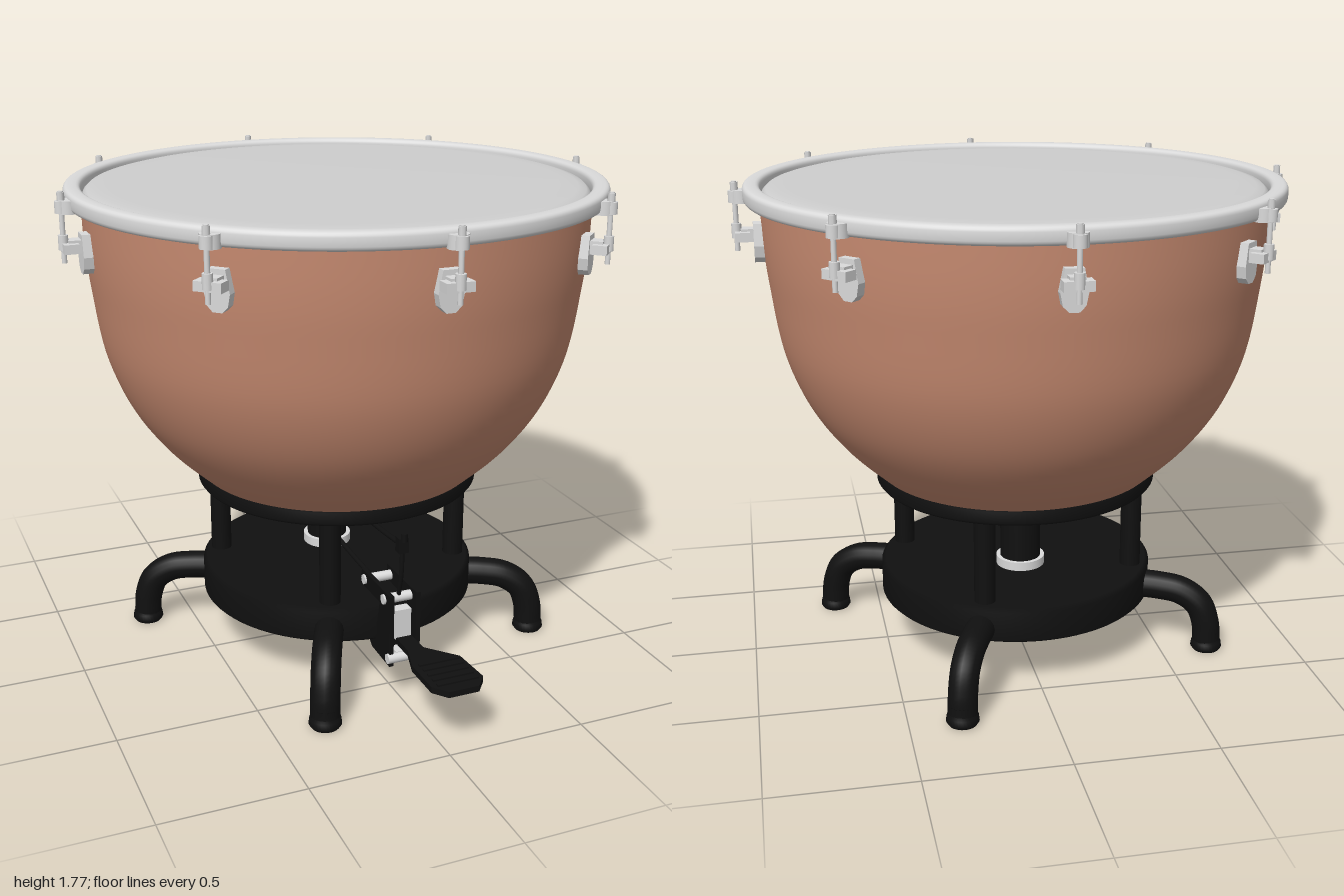
import * as THREE from 'three';

const mat = (name, color, side = THREE.FrontSide) => {
  const m = new THREE.MeshStandardMaterial({ color, side });
  m.name = name;
  return m;
};

export function createModel() {
  const root = new THREE.Group();
  root.name = 'kettledrum';
  const copper = mat('copper', 0xc68a70, THREE.DoubleSide);
  const chrome = mat('chrome', 0xdadada);
  const skin = mat('drum skin', 0xcecece);
  const black = mat('black iron', 0x101010);

  const add = (parent, name, geo, material, x = 0, y = 0, z = 0) => {
    const m = new THREE.Mesh(geo, material);
    m.name = name;
    m.position.set(x, y, z);
    parent.add(m);
    return m;
  };
  const v2 = (pts) => pts.map(([a, b]) => new THREE.Vector2(a, b));
  const lathe = (pts, seg = 96) => new THREE.LatheGeometry(v2(pts), seg);
  const cyl = (r1, r2, h, seg = 24) => new THREE.CylinderGeometry(r1, r2, h, seg);
  const box = (w, h, d) => new THREE.BoxGeometry(w, h, d);
  const tube = (pts, r, seg = 24) => new THREE.TubeGeometry(
    new THREE.CatmullRomCurve3(pts.map((p) => new THREE.Vector3(...p))), seg, r, 16);
  const slab = (pts, depth) => new THREE.ExtrudeGeometry(new THREE.Shape(v2(pts)),
    { depth, bevelEnabled: false });

  // Copper bowl
  const bowlCurve = new THREE.SplineCurve(v2([[0.46, 0.65], [0.52, 0.70], [0.65, 0.825],
    [0.76, 0.98], [0.835, 1.17], [0.872, 1.4], [0.887, 1.55], [0.892, 1.72]]));
  add(root, 'bowl', new THREE.LatheGeometry(bowlCurve.getPoints(40), 96), copper);

  // Counterhoop with a rounded section, and the skin inside it
  const hoop = [];
  for (let i = 0; i <= 24; i++) {
    const a = -Math.PI / 2 + (i / 24) * Math.PI * 2;
    const soft = (t) => Math.sign(t) * Math.abs(t) ** 0.6;
    hoop.push([0.918 + 0.031 * soft(Math.cos(a)), 1.727 + 0.031 * soft(Math.sin(a))]);
  }
  add(root, 'counterhoop', lathe(hoop, 128), chrome);
  add(root, 'drumSkin', lathe([[0.89, 1.70], [0.882, 1.725], [0.868, 1.738], [0.84, 1.745],
    [0.78, 1.748], [0, 1.748]], 128), skin);

  // Eight tension lugs
  for (let i = 0; i < 8; i++) {
    const lug = new THREE.Group();
    lug.name = 'tensionLug';
    lug.rotation.y = i * Math.PI / 4;
    root.add(lug);
    add(lug, 'hoopEar', cyl(0.034, 0.034, 0.045), chrome, 0, 1.718, 0.95);
    add(lug, 'earTip', cyl(0.022, 0.022, 0.04), chrome, 0, 1.718, 0.974);
    add(lug, 'tensionRod', cyl(0.009, 0.009, 0.24, 12), chrome, 0, 1.65, 0.974);
    add(lug, 'rodHead', cyl(0.013, 0.013, 0.03, 8), chrome, 0, 1.752, 0.974);
    add(lug, 'rodNut', cyl(0.017, 0.017, 0.05, 12), chrome, 0, 1.6, 0.974);
    add(lug, 'clawBlock', box(0.095, 0.032, 0.05), chrome, 0, 1.583, 0.955);
    add(lug, 'clawArm', box(0.05, 0.045, 0.08), chrome, 0, 1.585, 0.92);
    const shield = slab([[-0.03, 1.625], [-0.044, 1.55], [-0.036, 1.51], [-0.016, 1.49],
      [0.016, 1.49], [0.036, 1.51], [0.044, 1.55], [0.03, 1.625]], 0.05);
    add(lug, 'lugShield', shield, chrome, 0, 0, 0.868);
  }

  // Stand: upper ring, base drum
  add(root, 'supportRing', lathe([[0, 0.64], [0.51, 0.64], [0.518, 0.65], [0.518, 0.69],
    [0.51, 0.70], [0.44, 0.70]]), black);
  add(root, 'baseDisc', lathe([[0, 0.19], [0.50, 0.19], [0.51, 0.20], [0.51, 0.305],
    [0.495, 0.32], [0, 0.32]]), black);

  // Four posts and four curved legs
  for (let i = 0; i < 4; i++) {
    const corner = new THREE.Group();
    corner.name = 'legAndPost';
    corner.rotation.y = THREE.MathUtils.degToRad(-25 + 90 * i);
    root.add(corner);
    add(corner, 'post', cyl(0.038, 0.038, 0.36), black, 0, 0.48, 0.445);
    add(corner, 'leg', tube([[0, 0.238, 0.42], [0, 0.238, 0.56], [0, 0.225, 0.645],
      [0, 0.18, 0.71], [0, 0.11, 0.738], [0, 0.04, 0.745]], 0.052, 32), black);
    add(corner, 'foot', lathe([[0, 0], [0.05, 0], [0.058, 0.012], [0.055, 0.032],
      [0.042, 0.055], [0.05, 0.075]], 32), black, 0, 0, 0.745);
  }

  // Centre column with its bright collar
  add(root, 'column', cyl(0.075, 0.075, 0.34, 32), black, 0, 0.48, -0.1);
  add(root, 'columnCollar', cyl(0.09, 0.09, 0.035, 40), chrome, 0, 0.335, -0.1);

  // Pedal bracket: two side plates joined by bright pins
  const pedal = new THREE.Group();
  pedal.name = 'pedalMechanism';
  root.add(pedal);
  const plate = slab([[0.62, 0.41], [0.62, 0.14], [0.47, 0.145], [0.45, 0.16], [0.45, 0.24],
    [0.51, 0.26], [0.53, 0.35], [0.37, 0.35], [0.37, 0.41]], 0.016);
  plate.rotateY(-Math.PI / 2);
  for (const x of [-0.036, 0.064]) add(pedal, 'bracketPlate', plate, black, x);
  for (const [y, z] of [[0.38, 0.57], [0.38, 0.40], [0.17, 0.615]]) {
    add(pedal, 'bracketPin', cyl(0.018, 0.018, 0.13, 20), chrome, 0.006, y, z)
      .rotation.z = Math.PI / 2;
  }
  add(pedal, 'linkBlock', box(0.06, 0.11, 0.04), chrome, 0.006, 0.29, 0.585);
  add(pedal, 'lowerLink', box(0.06, 0.04, 0.05), chrome, 0.006, 0.17, 0.59);
  add(pedal, 'bracketMount', box(0.08, 0.09, 0.12), black, 0.006, 0.215, 0.50);

  // Foot paddle with tread ridges
  const paddle = slab([[-0.02, 0.54], [0.035, 0.54], [0.04, 0.70], [0.13, 0.80], [0.14, 0.95],
    [0.10, 1.0], [-0.01, 1.0], [-0.05, 0.95], [-0.05, 0.80], [-0.02, 0.70]], 0.022);
  paddle.rotateX(Math.PI / 2);
  add(pedal, 'footPaddle', paddle, black, 0, 0.24, 0);
  for (let i = 0; i < 5; i++) {
    add(pedal, 'treadRidge', box(0.15, 0.008, 0.015), black, 0.045, 0.242, 0.81 + i * 0.035);
  }

  // Control linkage
  add(pedal, 'uprightRod', tube([[0, 0.39, 0.575], [0, 0.48, 0.595], [0, 0.60, 0.60]], 0.008), black);
  add(pedal, 'rodJoint', box(0.035, 0.055, 0.035), black, 0, 0.592, 0.597);
  add(pedal, 'rodKnob', cyl(0.012, 0.012, 0.03, 12), black, 0, 0.625, 0.615);
  add(pedal, 'upperRod', tube([[0, 0.59, 0.60], [0, 0.572, 0.40], [0, 0.568, 0.22],
    [0, 0.582, -0.05]], 0.009), black);
  add(pedal, 'lowerRod', tube([[0, 0.355, 0.40], [0, 0.36, 0.2], [0, 0.375, -0.05]], 0.009), black);

  return root;
}
